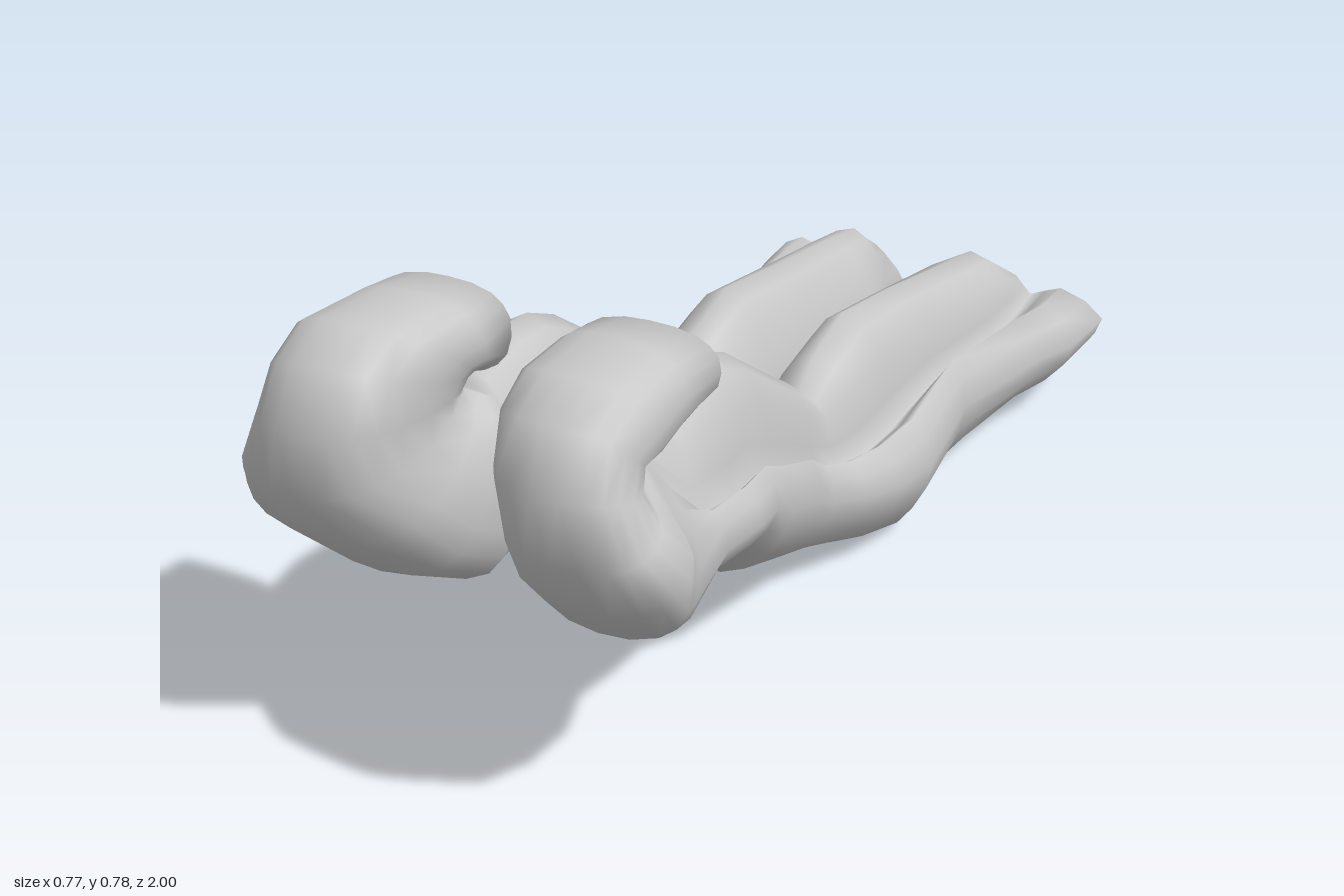
import * as THREE from 'three';

const { lerp, clamp } = THREE.MathUtils;

// Double-ridged limb, back to front:
// [z, inner x, outer x, bottom y, top y, ridge x, outer lobe y, groove x, groove y, bottom x]
const LIMB = [
  [-1.00, .08, .37, .035, .29, .13, .25, .22, .21, .20],
  [-0.77, .05, .36, .025, .335, .13, .25, .225, .20, .20],
  [-0.66, .015, .33, .03, .355, .13, .26, .225, .20, .19],
  [-0.40, .02, .28, .015, .40, .12, .27, .215, .22, .18],
  [-0.18, .012, .305, .004, .435, .12, .25, .22, .215, .20],
  [-0.06, .012, .295, .035, .40, .12, .25, .215, .215, .18],
  [0.02, .02, .265, .06, .365, .13, .25, .20, .23, .16],
  [0.10, .03, .24, .085, .42, .14, .275, .20, .26, .15],
  [0.20, .03, .26, .12, .48, .16, .34, .225, .315, .15],
  [0.36, .05, .285, .18, .59, .16, .41, .245, .385, .15],
  [0.44, .045, .30, .25, .625, .16, .45, .25, .42, .15],
  [0.52, .045, .31, .27, .63, .16, .455, .255, .425, .15],
  [0.62, .04, .305, .285, .605, .16, .46, .25, .44, .15],
];

// Curled end, sections fanning round the fold:
// [skin z, skin y, fold z, fold y, inner x, outer x]
const CURL = [
  [.71, .27, .74, .575, .03, .31],
  [.83, .335, .80, .575, .04, .35],
  [.935, .44, .84, .58, .06, .385],
  [.995, .54, .85, .595, .085, .35],
  [1.0, .65, .84, .61, .08, .315],
  [.96, .74, .82, .62, .075, .305],
  [.88, .78, .78, .62, .07, .31],
  [.74, .78, .71, .62, .065, .295],
  [.63, .76, .64, .645, .055, .30],
];
// on the inner side the fold closes to this point
const FOLD_Z = .665, FOLD_Y = .62;

function limbRing([z, x0, x1, y0, y1, rx, ly, gx, gy, bx], i) {
  const h = ly - y0;
  const pts = [
    [bx, y0], [lerp(bx, x1, .65), y0 + .25 * h], [x1, y0 + .65 * h],
    [lerp(gx, x1, .5), ly], [gx, gy], [lerp(gx, rx, .22), lerp(gy, y1, .68)],
    [rx, y1], [lerp(x0, rx, .4), lerp(y0, y1, .85)],
    [x0, lerp(y0, y1, .45)], [lerp(x0, bx, .22), lerp(y0, y1, .14)],
  ];
  // the back end slopes forward towards the top and the outer side
  const slope = (x, y) => Math.max(0, (y - .065) * .75, (x - .2) * .5);
  return pts.map(([x, y]) => new THREE.Vector3(x, y, i === 0 ? z + slope(x, y) : z));
}

// Rounded section running from the outer skin (t = 0) to the fold (t = 1)
function curlRing([zs, ys, zf, yf, x0, x1]) {
  const soft = v => .5 + .5 * Math.sign(v) * Math.pow(Math.abs(v), .8);
  const pts = [];
  for (let k = 0; k < 10; k++) {
    const a = k / 10 * Math.PI * 2 - Math.PI / 2;
    const t = soft(Math.sin(a)), u = soft(Math.cos(a));
    const open = clamp(u * 1.5 - .3, 0, 1);
    pts.push(new THREE.Vector3(
      lerp(x0, x1, u),
      lerp(ys, lerp(FOLD_Y, yf, open), t),
      lerp(zs, lerp(FOLD_Z, zf, open), t)));
  }
  return pts;
}

// Skin rings into a closed smooth body; side = -1 mirrors it
function loft(rings, side) {
  const n = 20, pos = [], idx = [];
  const tri = (a, b, c) => (side > 0 ? idx.push(a, b, c) : idx.push(a, c, b));
  const add = p => pos.push(p.x * side, p.y, p.z);
  const smooth = rings.map(r => new THREE.CatmullRomCurve3(r, true).getPoints(n).slice(0, n));
  smooth.forEach(r => r.forEach(add));
  for (let i = 0; i < rings.length - 1; i++) {
    for (let k = 0; k < n; k++) {
      const a = i * n + k, b = i * n + (k + 1) % n;
      tri(a, b, b + n);
      tri(a, b + n, a + n);
    }
  }
  // end caps share the ring vertices, so the ends shade softly
  [0, rings.length - 1].forEach(i => {
    const c = new THREE.Vector3();
    smooth[i].forEach(p => c.addScaledVector(p, 1 / n));
    const centre = pos.length / 3;
    add(c);
    for (let k = 0; k < n; k++) {
      const a = i * n + k, b = i * n + (k + 1) % n;
      if (i === 0) tri(centre, b, a);
      else tri(centre, a, b);
    }
  });
  const g = new THREE.BufferGeometry();
  g.setAttribute('position', new THREE.Float32BufferAttribute(pos, 3));
  g.setIndex(idx);
  g.computeVertexNormals();
  return g;
}

export function createModel() {
  const model = new THREE.Group();
  model.name = 'limbPair';
  const grey = new THREE.MeshStandardMaterial({ color: 0xc8c8c8 });
  grey.name = 'light grey';

  for (const side of [1, -1]) {
    const rings = [...LIMB.map(limbRing), ...CURL.map(curlRing)];
    const limb = new THREE.Mesh(loft(rings, side), grey);
    limb.name = side > 0 ? 'leftCurledLimb' : 'rightCurledLimb';
    model.add(limb);
  }
  return model;
}
